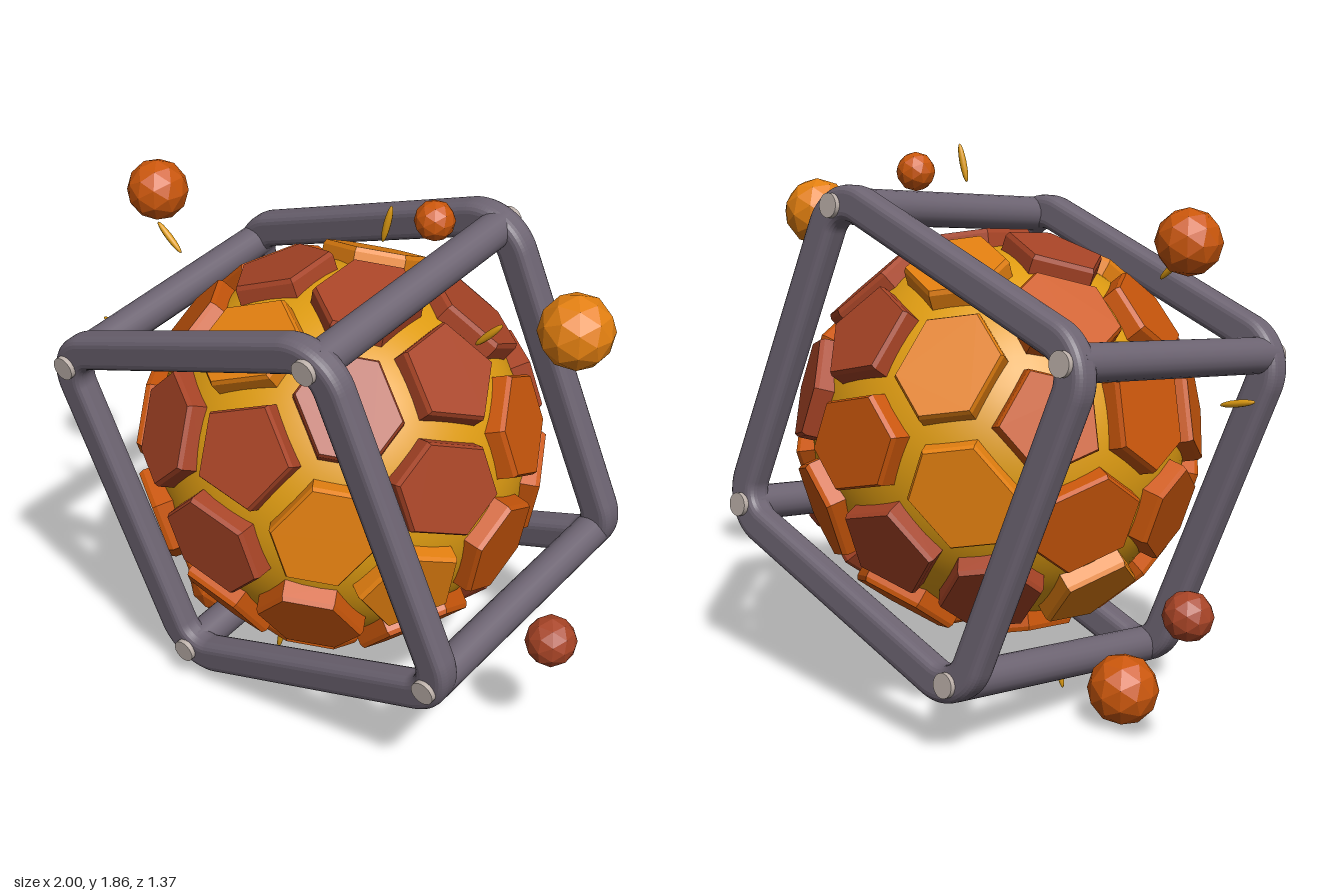
import * as THREE from 'three';
import { ConvexGeometry } from 'three/addons/geometries/ConvexGeometry.js';

const mat = (name, color, flatShading = false) => {
  const m = new THREE.MeshStandardMaterial({ color, flatShading });
  m.name = name;
  return m;
};

export function createModel() {
  const model = new THREE.Group();
  model.name = 'cagedOrb';
  const rust = mat('rust', 0xa84426, true);
  const amber = mat('burnt orange', 0xcb570b, true);
  const orange = mat('bright orange', 0xe48010, true);
  const gold = mat('gold', 0xdf9c12);
  const steel = mat('grey steel', 0x6d6472);
  const silver = mat('pale pin', 0xbdb1aa);

  const add = (parent, name, geometry, material, x = 0, y = 0, z = 0) => {
    const mesh = new THREE.Mesh(geometry, material);
    mesh.name = name;
    mesh.position.set(x, y, z);
    parent.add(mesh);
    return mesh;
  };

  // Core ball
  const orb = new THREE.Group();
  orb.name = 'orb';
  orb.position.set(0.02, 0.908, 0.004);
  model.add(orb);
  add(orb, 'core', new THREE.SphereGeometry(0.63, 64, 40), gold);

  // Plate directions: icosahedron corners (pentagons) and edge middles (hexagons)
  const v1 = new THREE.Vector3(0.068, 0.4, 0.914).normalize();
  const w = new THREE.Vector3(-0.195, -0.61, 0.766);
  w.addScaledVector(v1, -w.dot(v1)).normalize();
  const t = v1.clone().cross(w);
  const corners = [v1];
  for (let i = 0; i < 5; i++) {
    const a = i * Math.PI * 2 / 5;
    corners.push(v1.clone().multiplyScalar(1 / Math.sqrt(5))
      .addScaledVector(w, Math.cos(a) * 2 / Math.sqrt(5))
      .addScaledVector(t, Math.sin(a) * 2 / Math.sqrt(5)));
  }
  for (let i = 0; i < 6; i++) corners.push(corners[i].clone().negate());
  const cells = corners.map((n, i) => ({ key: `${i}`, n, rim: [] }));
  for (let i = 0; i < 12; i++) {
    for (let j = i + 1; j < 12; j++) {
      if (corners[i].dot(corners[j]) > 0.4) {
        cells.push({ key: `${i}-${j}`, n: corners[i].clone().add(corners[j]).normalize(), rim: [] });
      }
    }
  }

  // Each three neighbouring cells share one rim point
  const near = (a, b) => a.n.dot(b.n) > 0.75;
  for (let i = 0; i < 42; i++) for (let j = i + 1; j < 42; j++) {
    if (!near(cells[i], cells[j])) continue;
    for (let k = j + 1; k < 42; k++) {
      const trio = [cells[i], cells[j], cells[k]];
      if (!near(trio[0], trio[2]) || !near(trio[1], trio[2])) continue;
      const p = trio[1].n.clone().sub(trio[0].n).cross(trio[2].n.clone().sub(trio[0].n)).normalize();
      if (p.dot(trio[0].n) < 0) p.negate();
      trio.forEach(c => c.rim.push(p));
    }
  }

  // Armour plates with a narrow chamfer
  const orangeKeys = ['2', '9', '0-2', '0-4', '4-7', '7-8', '6-8'];
  const rustKeys = ['0', '3', '4', '6', '7', '0-1', '0-3', '0-5', '2-3', '3-4', '3-7', '7-11', '10-11', '6-9'];
  for (const { key, n, rim } of cells) {
    const points = [];
    for (const [scale, height] of [[0.775, 0.59], [0.775, 0.656], [0.74, 0.671]]) {
      for (const c of rim) {
        const side = c.clone().divideScalar(c.dot(n)).sub(n);
        points.push(n.clone().multiplyScalar(height).addScaledVector(side, 0.65 * scale));
      }
    }
    const m = orangeKeys.includes(key) ? orange : rustKeys.includes(key) ? rust : amber;
    add(orb, rim.length === 5 ? 'pentagonPlate' : 'hexagonPlate', new ConvexGeometry(points), m);
  }

  // Tilted cage
  const cage = new THREE.Group();
  cage.name = 'cage';
  const ax = new THREE.Vector3(0.942, 0.317, 0.114);
  const az = new THREE.Vector3(-0.0785, -0.126, 0.989).normalize();
  const ay = az.clone().cross(ax).normalize();
  ax.crossVectors(ay, az);
  cage.quaternion.setFromRotationMatrix(new THREE.Matrix4().makeBasis(ax, ay, az));
  cage.position.set(0.018, 0.906, 0.006);
  model.add(cage);

  const roundedSquare = (path, h, r) => {
    for (let i = 0; i < 4; i++) {
      const a = i * Math.PI / 2;
      const sx = i === 0 || i === 3 ? 1 : -1, sy = i < 2 ? 1 : -1;
      path.absarc(sx * (h - r), sy * (h - r), r, a, a + Math.PI / 2, false);
    }
    path.closePath();
    return path;
  };
  // Frame bars run along a rounded square; the struts meet it at the middle of each bend
  const barHalf = 0.605, bend = 0.13, barWidth = 0.06, bevel = 0.03;
  const core = barWidth - bevel;
  const outline = roundedSquare(new THREE.Shape(), barHalf + core, bend + core);
  outline.holes.push(roundedSquare(new THREE.Path(), barHalf - core, bend - core));
  const frameGeo = new THREE.ExtrudeGeometry(outline, {
    depth: 0.035, bevelEnabled: true, bevelThickness: bevel, bevelSize: bevel,
    bevelSegments: 4, curveSegments: 12,
  });
  frameGeo.translate(0, 0, -0.0175);
  const strutGeo = new THREE.CylinderGeometry(0.061, 0.061, 0.95, 20).rotateX(Math.PI / 2);
  const pinGeo = new THREE.CylinderGeometry(0.041, 0.041, 0.05, 20).rotateX(Math.PI / 2);
  for (const s of [1, -1]) add(cage, s > 0 ? 'frontFrame' : 'backFrame', frameGeo, steel, 0, 0, s * 0.473);
  const pinAt = barHalf - bend * (1 - Math.SQRT1_2);
  for (const x of [pinAt, -pinAt]) for (const y of [pinAt, -pinAt]) {
    add(cage, 'strut', strutGeo, steel, x, y, 0);
    for (const s of [1, -1]) add(cage, 'pin', pinGeo, silver, x, y, s * 0.512);
  }

  // Floating faceted balls
  const balls = [
    [0.877, 1.58, 0.012, 0.12, orange], [-0.765, 1.637, -0.035, 0.106, amber],
    [0.32, 1.773, -0.073, 0.066, amber], [-0.92, 0.522, -0.22, 0.081, rust],
    [0.88, 0.463, 0.045, 0.087, rust], [-0.535, 0.121, -0.02, 0.12, amber],
  ];
  for (const [x, y, z, r, m] of balls) add(model, 'floatingBall', new THREE.IcosahedronGeometry(r, 1), m, x, y, z);

  // Slim shards pointing away from the orb
  const shardGeo = new THREE.SphereGeometry(1, 10, 8).scale(0.012, 0.066, 0.012);
  for (const [x, y] of [[0.24, 1.795], [-0.63, 1.533], [-0.885, 1.13], [0.615, 1.52], [-0.19, 0.073]]) {
    const shard = add(model, 'shard', shardGeo, gold, x, y, 0.077);
    shard.rotation.z = Math.atan2(y - 0.92, x - 0.02) - Math.PI / 2;
  }
  return model;
}
